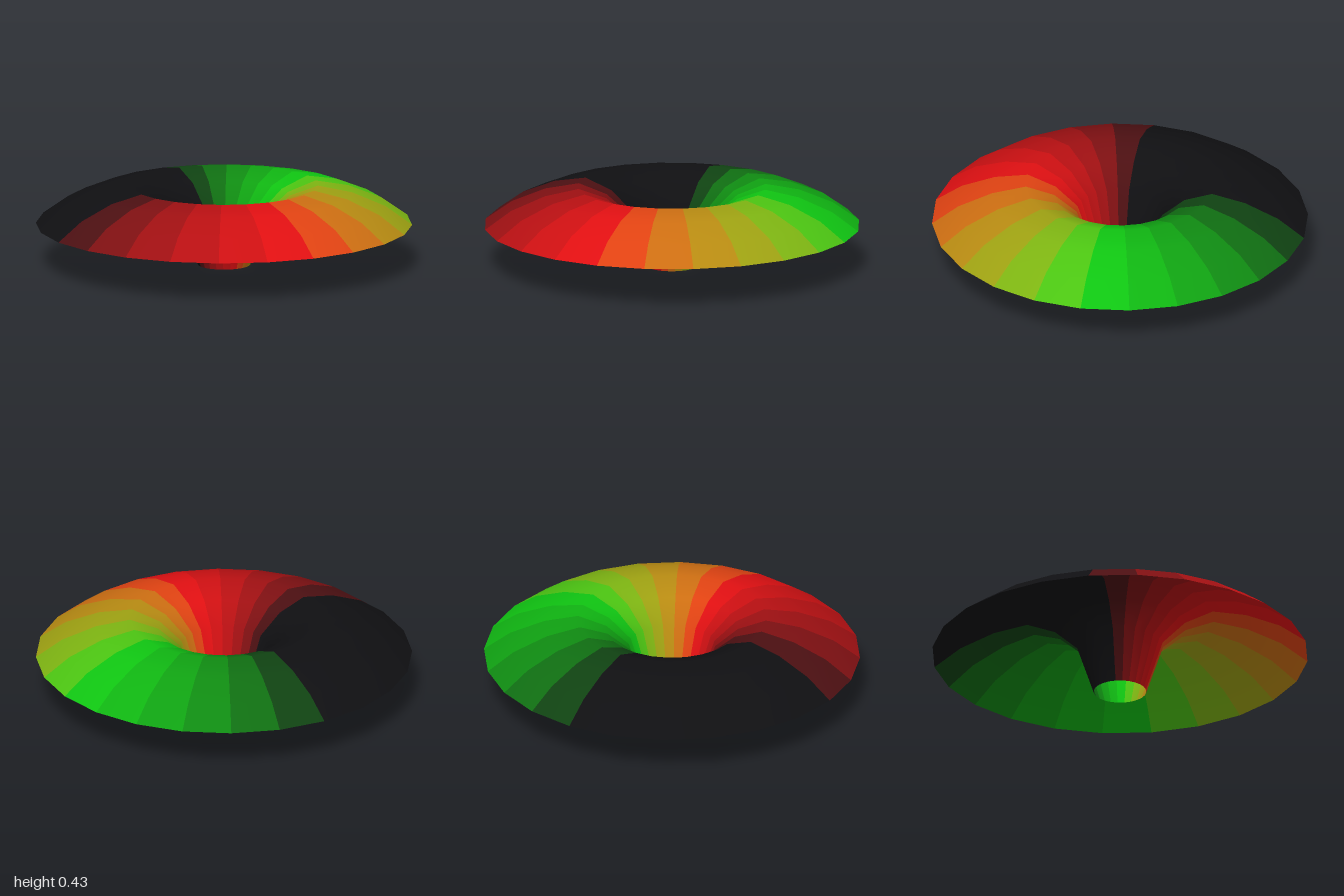
import * as THREE from 'three';

// Flared dish that curls over a soft crest and drops into an open funnel
const PROFILE = [
  [1.0, 0.22], [0.86, 0.32], [0.68, 0.395], [0.5, 0.43],
  [0.35, 0.375], [0.23, 0.27], [0.14, 0],
].map(([r, y]) => new THREE.Vector2(r, y));

const SIDES = 24;
const STEP = (Math.PI * 2) / SIDES;

// Strength of a hue that peaks at one angle and fades out a quarter turn away
function fade(angle, peak) {
  const d = Math.abs(Math.atan2(Math.sin(angle - peak), Math.cos(angle - peak)));
  return Math.max(0, 1 - d / (Math.PI / 2));
}

export function createModel() {
  const model = new THREE.Group();
  const dish = new THREE.Group();
  dish.name = 'flaredFunnelDish';

  // One wedge per side: red at the front, green at the left, black behind
  for (let i = 0; i < SIDES; i++) {
    const start = i * STEP;
    const middle = start + STEP / 2;
    const color = new THREE.Color().setRGB(
      0.005 + 0.8 * fade(middle, 0),
      0.005 + 0.6 * fade(middle, Math.PI / 2),
      0.006
    );
    const wedge = new THREE.Mesh(
      new THREE.LatheGeometry(PROFILE, 1, start, STEP),
      new THREE.MeshStandardMaterial({ color, side: THREE.DoubleSide })
    );
    wedge.name = `dishWedge${i + 1}`;
    dish.add(wedge);
  }

  model.add(dish);
  return model;
}
